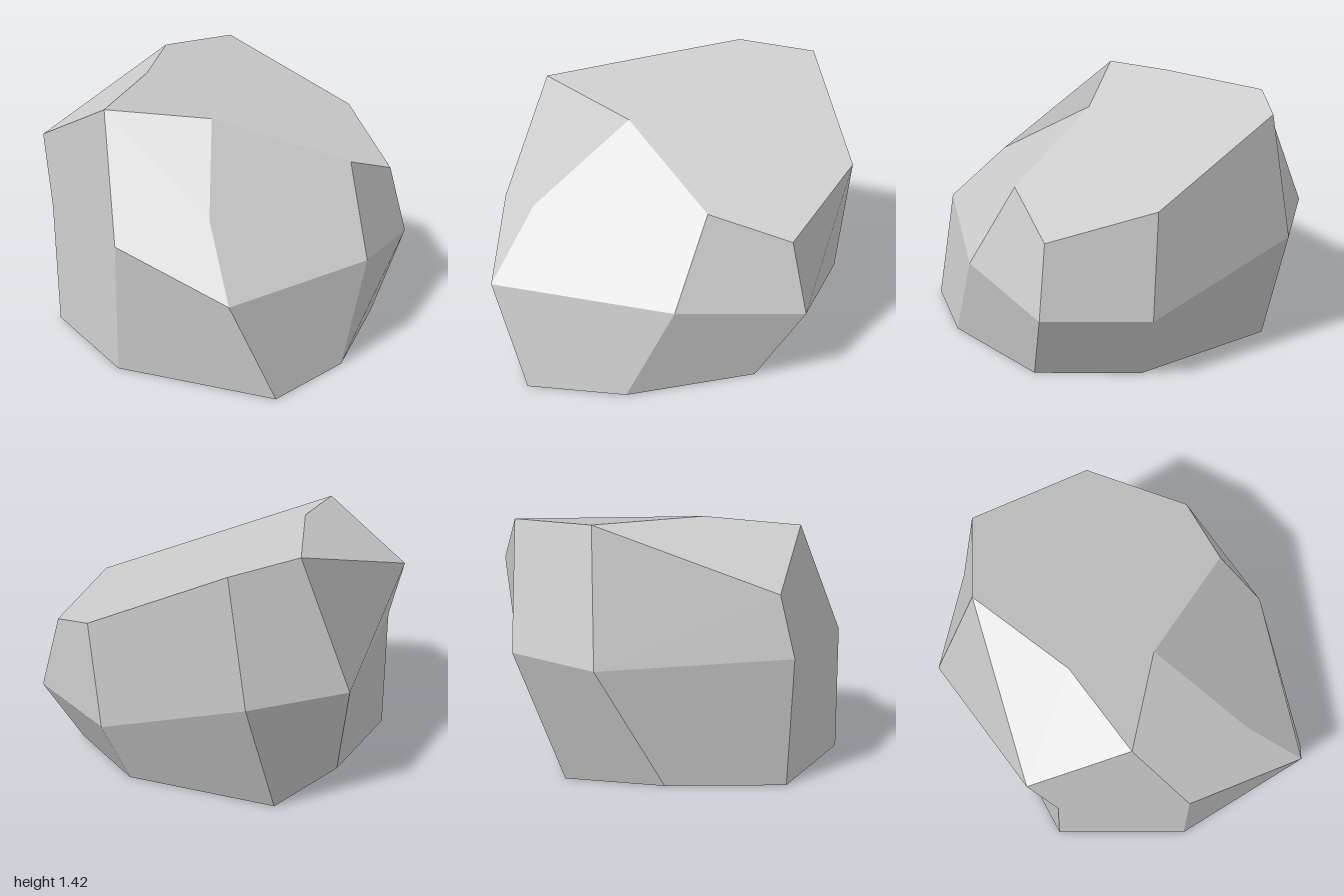
import * as THREE from 'three';

export function createModel() {
  const stone = new THREE.MeshStandardMaterial({ color: 0xcccccc });
  stone.name = 'stone grey';

  // Cross-section rings, each running left, back, right, front
  const base = [[-1, 0, 0.14], [-0.78, 0, -0.58], [-0.13, 0, -0.71], [0.43, 0, -0.69],
    [0.71, 0, 0.14], [0.53, 0, 0.7], [-0.14, 0, 1], [-0.69, 0, 1]];
  const belly = [[-1, 0.71, 0.14], [-0.81, 0.71, -0.57], [0.19, 0.71, -1], [0.71, 0.71, -0.71],
    [0.92, 0.41, 0.14], [0.8, 0.44, 0.73], [0.12, 0.52, 0.96], [-0.9, 0.55, 0.86]];
  const shoulder = [[-0.79, 1.36, -0.14], [-0.74, 1.09, -0.71], [0.26, 1.425, -0.71], [0.71, 1.425, -0.59],
    [0.99, 1.06, 0.14], [0.71, 0.84, 0.67], [0.26, 1, 0.72], [-0.72, 0.89, 0.56]];

  // Each facet is a chipped plane: its triangles share one averaged normal
  const positions = [];
  const normals = [];
  function facet(...triangles) {
    const normal = new THREE.Vector3();
    for (const corners of triangles) {
      const [a, b, c] = corners.map((p) => new THREE.Vector3(...p));
      normal.add(b.sub(a).cross(c.sub(a)));
      positions.push(...corners.flat());
    }
    normal.normalize();
    triangles.forEach(() => normals.push(...normal, ...normal, ...normal));
  }
  const quad = (low, high, i) => {
    const j = (i + 1) % 8;
    return [[low[j], low[i], high[i]], [low[j], high[i], high[j]]];
  };

  // Back left side is one tall facet; the other sides break at the belly
  facet(...quad(base, belly, 0), ...quad(belly, shoulder, 0));
  for (let i = 1; i < 8; i++) facet(...quad(base, belly, i));
  for (let i = 1; i < 6; i++) facet(...quad(belly, shoulder, i));

  // Flat underside
  facet(...[1, 2, 3, 4, 5, 6].map((i) => [base[0], base[i], base[i + 1]]));

  // Two inner corners of the top
  const [left, backLeft, back, backRight, right, frontRight, front, frontLeft] = shoulder;
  const notch = [-0.26, 1.25, 0.15];
  const crest = [-0.28, 1.425, -0.33];

  // Large front slope
  facet(...quad(belly, shoulder, 6), [frontLeft, front, notch]);
  // Hollowed left slope
  facet(...quad(belly, shoulder, 7), [left, frontLeft, notch]);
  // Back left slope of the top
  facet([crest, back, backLeft], [backLeft, left, crest]);
  // Broad top
  facet([left, notch, crest], [notch, front, right], [front, frontRight, right],
    [notch, right, backRight], [notch, backRight, crest], [crest, backRight, back]);

  const geometry = new THREE.BufferGeometry();
  geometry.setAttribute('position', new THREE.Float32BufferAttribute(positions, 3));
  geometry.setAttribute('normal', new THREE.Float32BufferAttribute(normals, 3));

  const rock = new THREE.Mesh(geometry, stone);
  rock.name = 'rock';
  const group = new THREE.Group();
  group.name = 'boulder';
  group.add(rock);
  return group;
}
